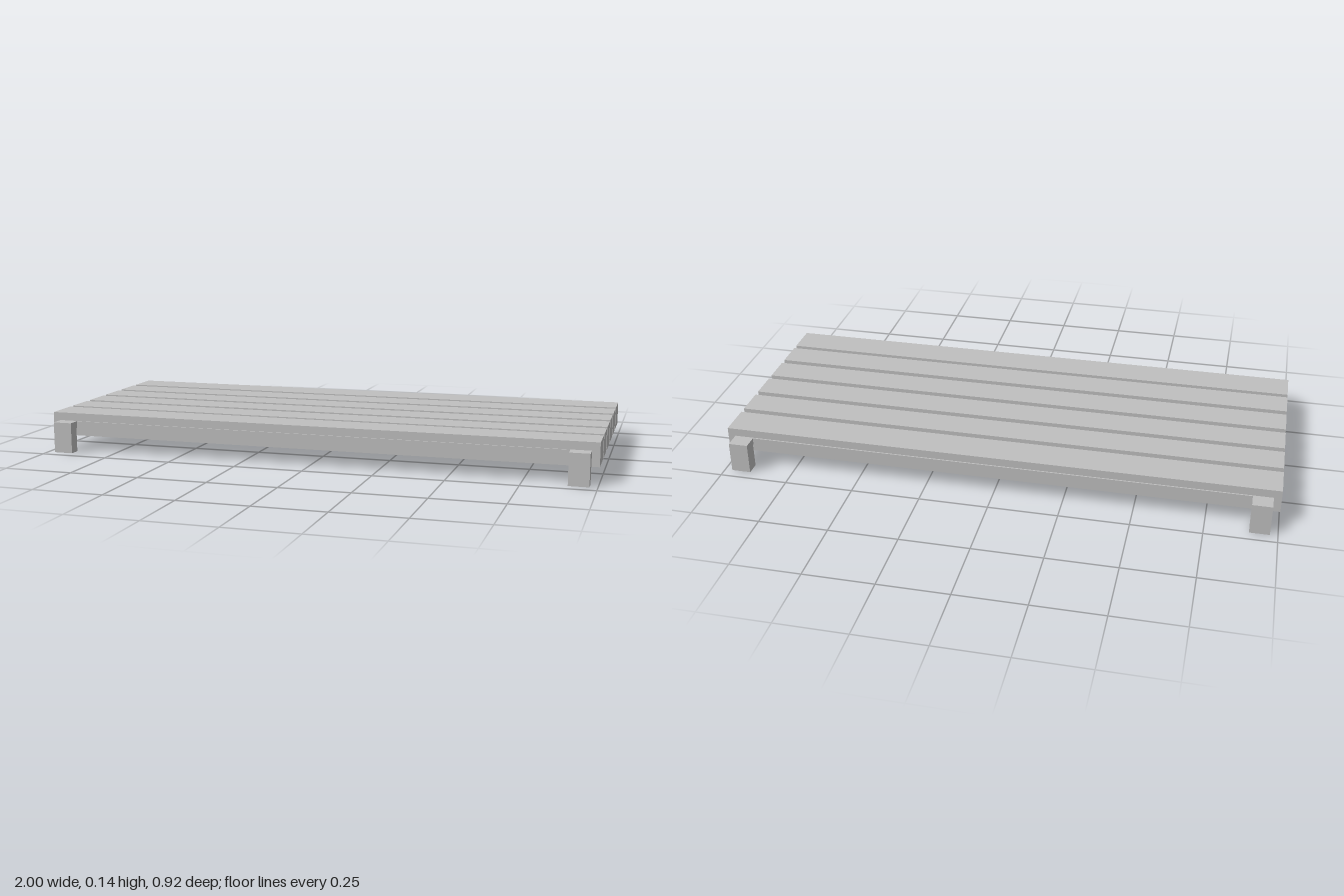
import * as THREE from 'three';

export function createModel() {
  const group = new THREE.Group();
  const grey = new THREE.MeshStandardMaterial({ color: 0xbfbfbf });
  grey.name = 'light grey';

  // Box given by its limits on each axis
  const box = (name, [x0, x1], [y0, y1], [z0, z1]) => {
    const mesh = new THREE.Mesh(new THREE.BoxGeometry(x1 - x0, y1 - y0, z1 - z0), grey);
    mesh.position.set((x0 + x1) / 2, (y0 + y1) / 2, (z0 + z1) / 2);
    mesh.name = name;
    group.add(mesh);
  };

  // Slats, front to back; the outer two are slightly wider
  const slats = [
    [0.288, 0.411], [0.156, 0.267], [0.02, 0.131],
    [-0.116, -0.005], [-0.252, -0.141], [-0.401, -0.277],
  ];
  slats.forEach((z, i) => box('slat' + (i + 1), [-1, 1], [0.058, 0.141], z));

  // Cross bars running through the slats, with a leg at each end
  const bar = [0.087, 0.112];
  for (const [side, x] of [['left', [0.903, 0.973]], ['right', [-0.973, -0.903]]]) {
    box(side + 'CrossBar', x, bar, [-0.411, 0.421]);
    box(side + 'FrontLeg', x, [0, 0.112], [0.421, 0.461]);
    box(side + 'BackLeg', x, [0, 0.112], [-0.461, -0.411]);
  }

  // Long frame rails standing just proud of the outer slats
  box('frontRail', [-0.903, 0.903], bar, [0.38, 0.416]);
  box('backRail', [-0.903, 0.903], bar, [-0.406, -0.37]);

  return group;
}
